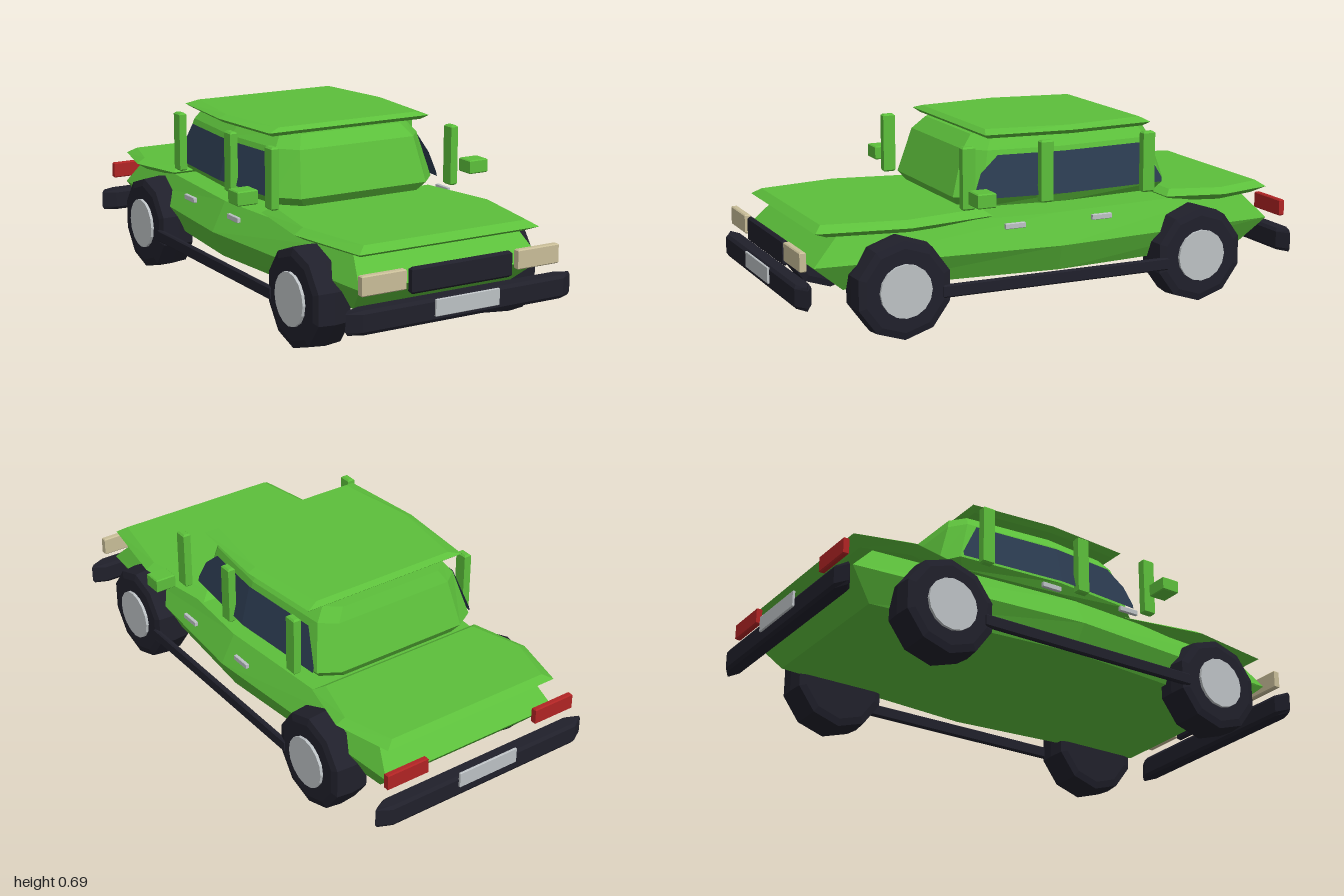
import * as THREE from 'three';

const mat = (name, color, double) => {
  const m = new THREE.MeshStandardMaterial({ color, flatShading: true });
  m.name = name;
  if (double) m.side = THREE.DoubleSide;
  return m;
};

// Closed convex solid from stacked horizontal outlines: [y, [[x, z], ...]]
function loft(levels) {
  const pos = [];
  const tri = (...pts) => pts.forEach((p) => pos.push(...p));
  const rings = levels.map(([y, pts]) => pts.map(([x, z]) => [x, y, z]));
  const n = rings[0].length;
  for (let k = 0; k < rings.length - 1; k++) {
    const a = rings[k], b = rings[k + 1];
    for (let i = 0; i < n; i++) {
      const j = (i + 1) % n;
      tri(a[i], a[j], b[j]);
      tri(a[i], b[j], b[i]);
    }
  }
  const bottom = rings[0], top = rings[rings.length - 1];
  for (let i = 1; i < n - 1; i++) {
    tri(top[0], top[i], top[i + 1]);
    tri(bottom[0], bottom[i + 1], bottom[i]);
  }
  const g = new THREE.BufferGeometry();
  g.setAttribute('position', new THREE.Float32BufferAttribute(pos, 3));
  g.computeVertexNormals();
  return g;
}

// Mirrored outline from its +x half, listed front to back
const outline = (half) => [...half, ...half.map(([x, z]) => [-x, z]).reverse()];
const hex = (end, mid, front, back, zm = (front + back) / 2) =>
  outline([[end, front], [mid, zm], [end, back]]);

// Small block with chamfered upper and lower edges
function block(w, h, d, c) {
  const rect = (e) => outline([[w / 2 - e, d / 2 - e], [w / 2 - e, -d / 2 + e]]);
  return loft([[-h / 2, rect(c)], [-h / 2 + c, rect(0)], [h / 2 - c, rect(0)], [h / 2, rect(c)]]);
}

export function createModel() {
  const paint = mat('green paint', 0x5cbf3b);
  const black = mat('black rubber', 0x20202b);
  const glass = mat('dark glass', 0x2b3b50, true);
  const metal = mat('light metal', 0xbcc1c4);
  const cream = mat('headlight cream', 0xc8bd98);
  const red = mat('tail red', 0xb02424);

  const car = new THREE.Group();
  car.name = 'car';
  const add = (name, geo, material, x = 0, y = 0, z = 0) => {
    const m = new THREE.Mesh(geo, material);
    m.name = name;
    m.position.set(x, y, z);
    car.add(m);
    return m;
  };

  // Lower body, bulging at mid height and mid length
  add('body', loft([
    [0.18, hex(0.32, 0.39, 0.79, -0.81)],
    [0.28, hex(0.37, 0.44, 0.91, -0.905)],
    [0.39, hex(0.33, 0.385, 0.8, -0.8)],
  ]), paint);

  // Hood, trunk lid and roof are bevelled six-sided panels
  add('hood', loft([
    [0.375, hex(0.33, 0.38, 0.85, 0.28)],
    [0.397, hex(0.365, 0.42, 0.9, 0.24)],
    [0.42, hex(0.33, 0.385, 0.87, 0.27)],
  ]), paint);
  add('trunkLid', loft([
    [0.375, hex(0.33, 0.38, -0.51, -0.86)],
    [0.4, hex(0.365, 0.42, -0.47, -0.905)],
    [0.42, hex(0.33, 0.385, -0.5, -0.88)],
  ]), paint);
  add('roof', loft([
    [0.666, hex(0.315, 0.345, 0.235, -0.39)],
    [0.682, hex(0.338, 0.367, 0.255, -0.41)],
    [0.696, hex(0.29, 0.335, 0.235, -0.39)],
  ]), paint);

  // Cabin with sloped ends and clipped corners
  const cabinRing = (nose, noseX, corner, cornerZ, side, rear) => outline([
    [noseX, nose], [corner, cornerZ], [side, -0.05], [corner, rear + 0.045], [noseX, rear],
  ]);
  add('cabin', loft([
    [0.422, cabinRing(0.325, 0.24, 0.315, 0.25, 0.35, -0.485)],
    [0.455, cabinRing(0.35, 0.265, 0.34, 0.27, 0.37, -0.507)],
    [0.62, cabinRing(0.3, 0.24, 0.3, 0.23, 0.33, -0.455)],
    [0.667, cabinRing(0.255, 0.21, 0.265, 0.2, 0.295, -0.435)],
  ]), paint);

  // Side glass follows the cabin wall: [z, bottom y, top y] per column
  const columns = [[0.3, 0.457, 0.475], [0.27, 0.457, 0.545], [0.2, 0.457, 0.605],
    [-0.05, 0.457, 0.605], [-0.385, 0.457, 0.605], [-0.42, 0.457, 0.54], [-0.455, 0.457, 0.475]];
  const wallX = (y, z) => 0.37 - Math.abs(z + 0.05) * (z > -0.05 ? 0.094 : 0.073) - (y - 0.455) * 0.243;

  for (const s of [1, -1]) {
    const side = s > 0 ? 'left' : 'right';
    const pane = new THREE.PlaneGeometry(1, 1, columns.length - 1, 1);
    const p = pane.attributes.position;
    for (let i = 0; i < p.count; i++) {
      const [z, y0, y1] = columns[i % columns.length];
      const y = i < columns.length ? y1 : y0;
      p.setXYZ(i, s * (wallX(y, z) + 0.012), y, z);
    }
    pane.computeVertexNormals();
    add(side + 'SideWindow', pane, glass);

    // Pillars beside the cabin
    for (const z of [0.343, 0.038, -0.376]) {
      add(side + 'Pillar', block(0.03, 0.225, 0.048, 0.006), paint, s * 0.378, 0.544, z);
    }

    add(side + 'Mirror', block(0.08, 0.052, 0.07, 0.004), paint, s * 0.488, 0.491, 0.335);
    for (const z of [0.193, -0.15]) {
      add(side + 'DoorHandle', block(0.013, 0.02, 0.078, 0.002), metal, s * 0.451, 0.376, z);
    }
    add(side + 'RunningBoard', block(0.02, 0.046, 0.9, 0.005), black, s * 0.45, 0.169, 0.02);

    // Wheels: ten-sided tyre with a bevelled tread, and a flat hub disc
    for (const z of [0.61, -0.566]) {
      const tyre = new THREE.LatheGeometry([[0, -0.07], [0.15, -0.07], [0.177, -0.062],
        [0.183, 0], [0.177, 0.062], [0.15, 0.07], [0, 0.07]].map((q) => new THREE.Vector2(...q)), 10);
      tyre.rotateY(Math.PI / 2).rotateZ(Math.PI / 2);
      tyre.rotateX(Math.PI / 2);
      tyre.computeBoundingBox();
      // Put a corner of the tread at the lowest point
      if (tyre.boundingBox.min.y > -0.18) tyre.rotateX(Math.PI / 10);
      add(side + 'Tyre', tyre, black, s * 0.385, 0.188, z);
      const hub = new THREE.CylinderGeometry(0.096, 0.096, 0.02, 16).rotateZ(Math.PI / 2);
      add(side + 'Hub', hub, metal, s * 0.456, 0.188, z);
    }

    // Lamps
    add(side + 'Headlight', block(0.172, 0.07, 0.024, 0.004), cream, s * 0.312, 0.313, 0.957);
    add(side + 'TailLight', block(0.17, 0.062, 0.022, 0.004), red, s * 0.322, 0.32, -0.952);
  }

  add('grille', block(0.406, 0.092, 0.022, 0.008), black, 0, 0.302, 0.955);

  // Bumpers with pointed ends, and blank plates on them
  const bar = (e) => outline([[0.405 - e, 0.03 - e], [0.456 - e, 0], [0.405 - e, -0.03 + e]]);
  const bumper = loft([[-0.042, bar(0.008)], [-0.03, bar(0)], [0.03, bar(0)], [0.042, bar(0.008)]]);
  add('frontBumper', bumper, black, 0, 0.198, 0.962);
  add('rearBumper', bumper, black, 0, 0.198, -0.962);
  add('frontPlate', block(0.258, 0.06, 0.009, 0.002), metal, 0, 0.208, 0.9955);
  add('rearPlate', block(0.25, 0.06, 0.009, 0.002), metal, 0, 0.229, -0.9955);

  return car;
}
